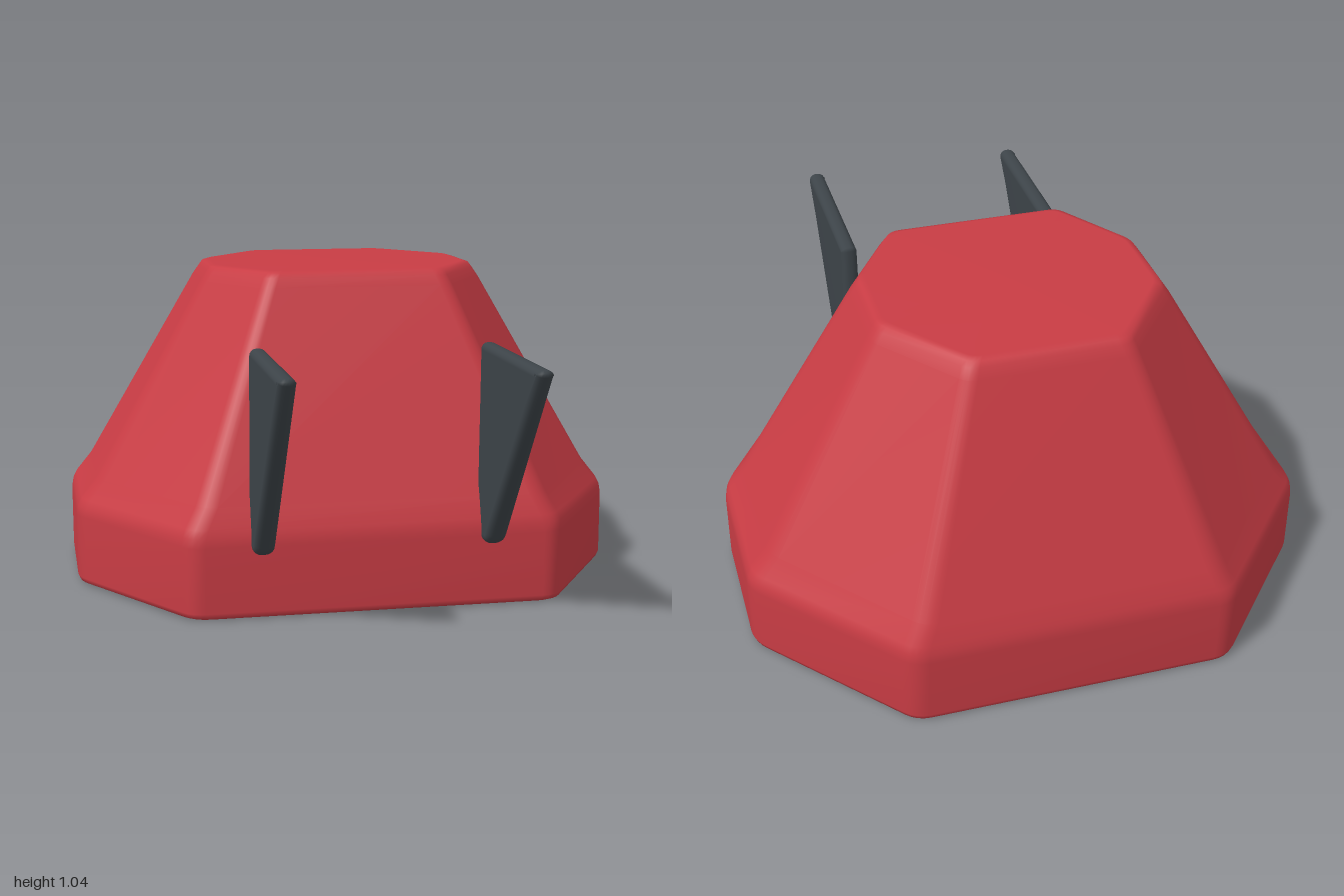
import * as THREE from 'three';
import { mergeVertices } from 'three/addons/utils/BufferGeometryUtils.js';

// Right-hand half of the octagon, front to back, as [x, z]
const mirror = (half) => [...half, ...half.slice().reverse().map(([x, z]) => [-x, z])];
const BASE = mirror([[0.585, 0.475], [0.91, -0.03], [0.91, -0.53], [0.5, -1.0]]);
const TOP = mirror([[0.29, 0.15], [0.46, -0.12], [0.46, -0.41], [0.245, -0.69]]);
const CENTRE_Z = -0.26;

// Body rings: height, blend to the top outline in x and in z, shrink factor
const RINGS = [
  [0, 0, 0, 0.975], [0.006, 0, 0, 0.992], [0.022, 0, 0, 1],
  [0.23, 0, 0, 1], [0.26, 0.012, 0.008, 1], [0.285, 0.04, 0.03, 1], [0.35, 0.155, 0.1, 1],
  [0.99, 0.965, 0.955, 1], [1.02, 1, 1, 0.99], [1.036, 1, 1, 0.965], [1.042, 1, 1, 0.92],
];

// Rounds each corner of an outline with a small quadratic curve
function roundCorners(points, d, steps = 4) {
  const v = points.map(([x, z]) => new THREE.Vector2(x, z));
  const out = [];
  v.forEach((p, i) => {
    const prev = v[(i + v.length - 1) % v.length];
    const next = v[(i + 1) % v.length];
    const a = prev.clone().sub(p).setLength(d).add(p);
    const b = next.clone().sub(p).setLength(d).add(p);
    out.push(...new THREE.QuadraticBezierCurve(a, p, b).getPoints(steps));
  });
  return out;
}

// Lofts the rings into a closed, soft-edged body
function bodyGeometry() {
  const pos = [];
  const index = [];
  let n = 0;
  for (const [y, tx, tz, s] of RINGS) {
    const corners = BASE.map(([x, z], i) => [
      THREE.MathUtils.lerp(x, TOP[i][0], tx) * s,
      (THREE.MathUtils.lerp(z, TOP[i][1], tz) - CENTRE_Z) * s + CENTRE_Z,
    ]);
    const ring = roundCorners(corners, 0.045 - 0.015 * tx);
    n = ring.length;
    ring.forEach((p) => pos.push(p.x, y, p.y));
  }
  const last = (RINGS.length - 1) * n;
  const bottom = pos.length / 3;
  pos.push(0, 0, CENTRE_Z, 0, RINGS[RINGS.length - 1][0], CENTRE_Z);
  for (let j = 0; j < n; j++) {
    const k = (j + 1) % n;
    for (let r = 0; r < last; r += n) {
      index.push(r + j, r + k, r + n + k, r + j, r + n + k, r + n + j);
    }
    index.push(bottom, k, j, bottom + 1, last + j, last + k);
  }
  const g = new THREE.BufferGeometry();
  g.setAttribute('position', new THREE.Float32BufferAttribute(pos, 3));
  g.setIndex(index);
  g.computeVertexNormals();
  return g;
}

// Pointed plate with rounded rims, slightly thinner towards the top
function finGeometry() {
  const outline = [
    [0.405, 0.22], [0.415, 0.21], [0.5, 0.21], [0.525, 0.22], [0.545, 0.24],
    [0.995, 0.815], [1.0, 0.828], [0.99, 0.836], [0.415, 0.836], [0.405, 0.826],
  ];
  const shape = new THREE.Shape(outline.map(([z, y]) => new THREE.Vector2(z, y)));
  let g = new THREE.ExtrudeGeometry(shape, {
    depth: 0.012, bevelThickness: 0.027, bevelSize: 0.022, bevelOffset: -0.022, bevelSegments: 4,
  });
  g.translate(0, 0, -0.006).rotateY(-Math.PI / 2);
  const p = g.attributes.position;
  for (let i = 0; i < p.count; i++) {
    p.setX(i, p.getX(i) * (1 - 0.18 * (p.getY(i) - 0.21) / 0.63));
  }
  g.deleteAttribute('uv');
  g.deleteAttribute('normal');
  g = mergeVertices(g, 1e-4);
  g.computeVertexNormals();
  return g;
}

export function createModel() {
  const red = new THREE.MeshStandardMaterial({ color: 0xc83c44 });
  red.name = 'red';
  const charcoal = new THREE.MeshStandardMaterial({ color: 0x3d4449 });
  charcoal.name = 'charcoal';

  const model = new THREE.Group();
  model.name = 'finnedOctagonalBlock';

  const body = new THREE.Mesh(bodyGeometry(), red);
  body.name = 'body';
  model.add(body);

  // Pair of fins on the front
  const fin = finGeometry();
  for (const [name, side] of [['leftFin', 1], ['rightFin', -1]]) {
    const mesh = new THREE.Mesh(fin, charcoal);
    mesh.name = name;
    mesh.position.x = side * 0.365;
    model.add(mesh);
  }
  return model;
}
